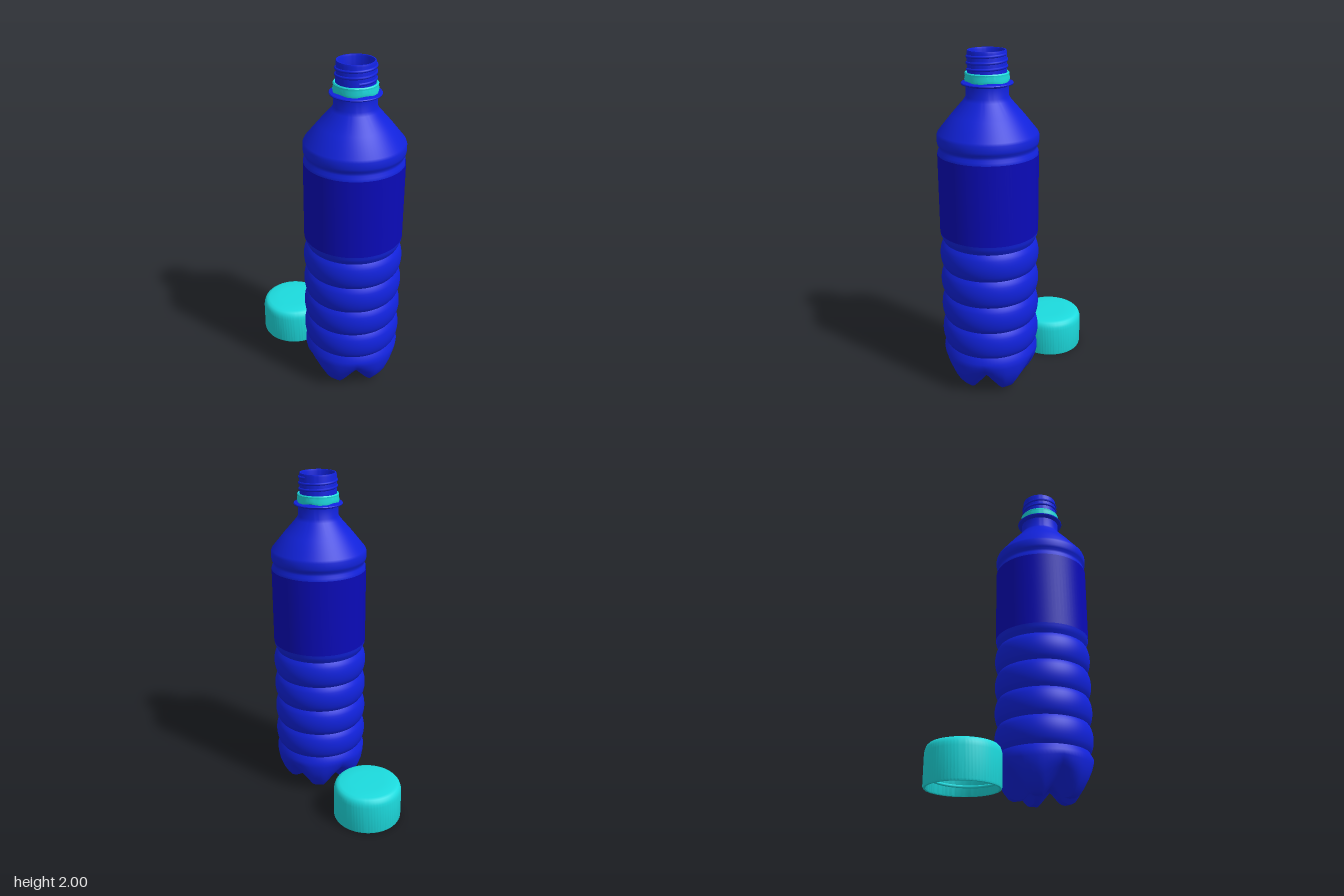
import * as THREE from 'three';
import { toCreasedNormals } from 'three/addons/utils/BufferGeometryUtils.js';

const BLUE = 0x1122dd, LABEL_BLUE = 0x0a0ab8, TEAL = 0x1cdbde;
const SEGMENTS = 80;

function addMesh(parent, name, geometry, color) {
  const material = new THREE.MeshStandardMaterial({ color, side: THREE.DoubleSide });
  const mesh = new THREE.Mesh(geometry, material);
  mesh.name = name;
  parent.add(mesh);
  return mesh;
}

// Revolve [radius, y] pairs; an optional rule moves each vertex first
function lathe(profile, segments = SEGMENTS, rule = null) {
  const geometry = new THREE.LatheGeometry(profile.map(([r, y]) => new THREE.Vector2(r, y)), segments);
  if (rule) {
    const pos = geometry.attributes.position;
    for (let i = 0; i < pos.count; i++) {
      const segment = Math.floor(i / profile.length) % segments;
      const angle = segment / segments * Math.PI * 2;
      const [r, y] = rule(profile[i % profile.length], angle, i % profile.length);
      pos.setXYZ(i, r * Math.sin(angle), y, r * Math.cos(angle));
    }
  }
  return toCreasedNormals(geometry, 0.7);
}

// Screw thread as a tube along a helix
function thread(radius, y0, y1, turns, thickness) {
  const points = [];
  const steps = Math.round(turns * 24);
  for (let i = 0; i <= steps; i++) {
    const t = i / steps, a = t * turns * Math.PI * 2;
    points.push(new THREE.Vector3(radius * Math.sin(a), y0 + (y1 - y0) * t, radius * Math.cos(a)));
  }
  return new THREE.TubeGeometry(new THREE.CatmullRomCurve3(points), steps * 2, thickness, 8);
}

function createBottle() {
  const bottle = new THREE.Group();
  bottle.name = 'bottle';

  // Base: a foot section and a valley section, alternating five times round
  const foot = [[0, 0.075], [0.05, 0.07], [0.09, 0.05], [0.12, 0.02], [0.145, 0.012], [0.18, 0.012],
    [0.205, 0.025], [0.232, 0.06], [0.257, 0.105], [0.273, 0.15], [0.281, 0.2], [0.281, 0.235]];
  const valley = [[0, 0.075], [0.05, 0.075], [0.09, 0.08], [0.12, 0.086], [0.145, 0.094], [0.18, 0.108],
    [0.2, 0.12], [0.225, 0.14], [0.248, 0.16], [0.265, 0.18], [0.278, 0.21], [0.281, 0.235]];
  const profile = [...foot];

  // Four rounded ribs between narrow grooves
  const ribs = 4, ribBottom = 0.27, ribTop = 0.925, steps = 10;
  for (let i = 0; i <= ribs * steps; i++) {
    const bulge = Math.pow(Math.abs(Math.sin(Math.PI * i / steps)), 0.65);
    profile.push([0.262 + 0.024 * bulge, ribBottom + (ribTop - ribBottom) * i / (ribs * steps)]);
  }

  // Straight body, upper groove, shoulder, neck, flange and mouth
  profile.push(
    [0.272, 0.945], [0.28, 0.965], [0.28, 1.435], [0.279, 1.455], [0.27, 1.468], [0.27, 1.482],
    [0.28, 1.495], [0.283, 1.51], [0.283, 1.545], [0.277, 1.56], [0.2, 1.655], [0.13, 1.735],
    [0.118, 1.755], [0.118, 1.812], [0.14, 1.82], [0.143, 1.826], [0.14, 1.83], [0.112, 1.836],
    [0.107, 1.88], [0.107, 1.99], [0.104, 2], [0.097, 2], [0.094, 1.99], [0.094, 1.84], [0.112, 1.8],
    [0.114, 1.76]);

  const body = lathe(profile, SEGMENTS, ([r, y], angle, j) => {
    if (j >= foot.length) return [r, y];
    const period = Math.PI * 2 / 5;
    const offset = Math.abs(angle - Math.round(angle / period) * period);
    const w = Math.max(0, 1 - offset / 0.46);
    return [r + (valley[j][0] - r) * w, y + (valley[j][1] - y) * w];
  });
  addMesh(bottle, 'bottleBody', body, BLUE);
  addMesh(bottle, 'neckThread', thread(0.106, 1.9, 1.98, 2.4, 0.008), BLUE);

  // Wrap-around label
  addMesh(bottle, 'label', lathe([[0.2825, 0.98], [0.2825, 1.44]]), LABEL_BLUE);

  // Tamper ring left on the neck, with a slightly uneven lower rim
  const ring = [[0.113, 1.838], [0.12, 1.836], [0.123, 1.85], [0.119, 1.868], [0.121, 1.88],
    [0.116, 1.886], [0.109, 1.884]];
  addMesh(bottle, 'tamperRing', lathe(ring, SEGMENTS, ([r, y], a, j) =>
    [r, j < 4 ? y + 0.004 * Math.sin(a * 5) : y]), TEAL);
  return bottle;
}

function createCap() {
  const cap = new THREE.Group();
  cap.name = 'cap';
  // Hollow shell, open underneath, with fine grip ridges on its side
  const shell = [[0, 0.212], [0.17, 0.212], [0.184, 0.2], [0.186, 0.01], [0.19, 0.004], [0.201, 0.004],
    [0.204, 0.012], [0.204, 0.18], [0.202, 0.2], [0.196, 0.217], [0.186, 0.228], [0.168, 0.234],
    [0.1, 0.236], [0, 0.236]];
  // The inner skin is listed from the ceiling down, so the faces point out of the wall
  addMesh(cap, 'capShell', lathe(shell, 144, ([r, y], a, j) =>
    [j === 6 || j === 7 ? r + 0.0012 * Math.cos(a * 72) : r, y]), TEAL);
  addMesh(cap, 'capThread', thread(0.185, 0.045, 0.16, 2.5, 0.008), TEAL);
  return cap;
}

export function createModel() {
  const model = new THREE.Group();
  model.name = 'bottleWithCap';
  const bottle = createBottle();
  bottle.position.set(0.116, 0, 0.186);
  const cap = createCap();
  cap.position.set(-0.205, 0, -0.267);
  model.add(bottle, cap);
  return model;
}
